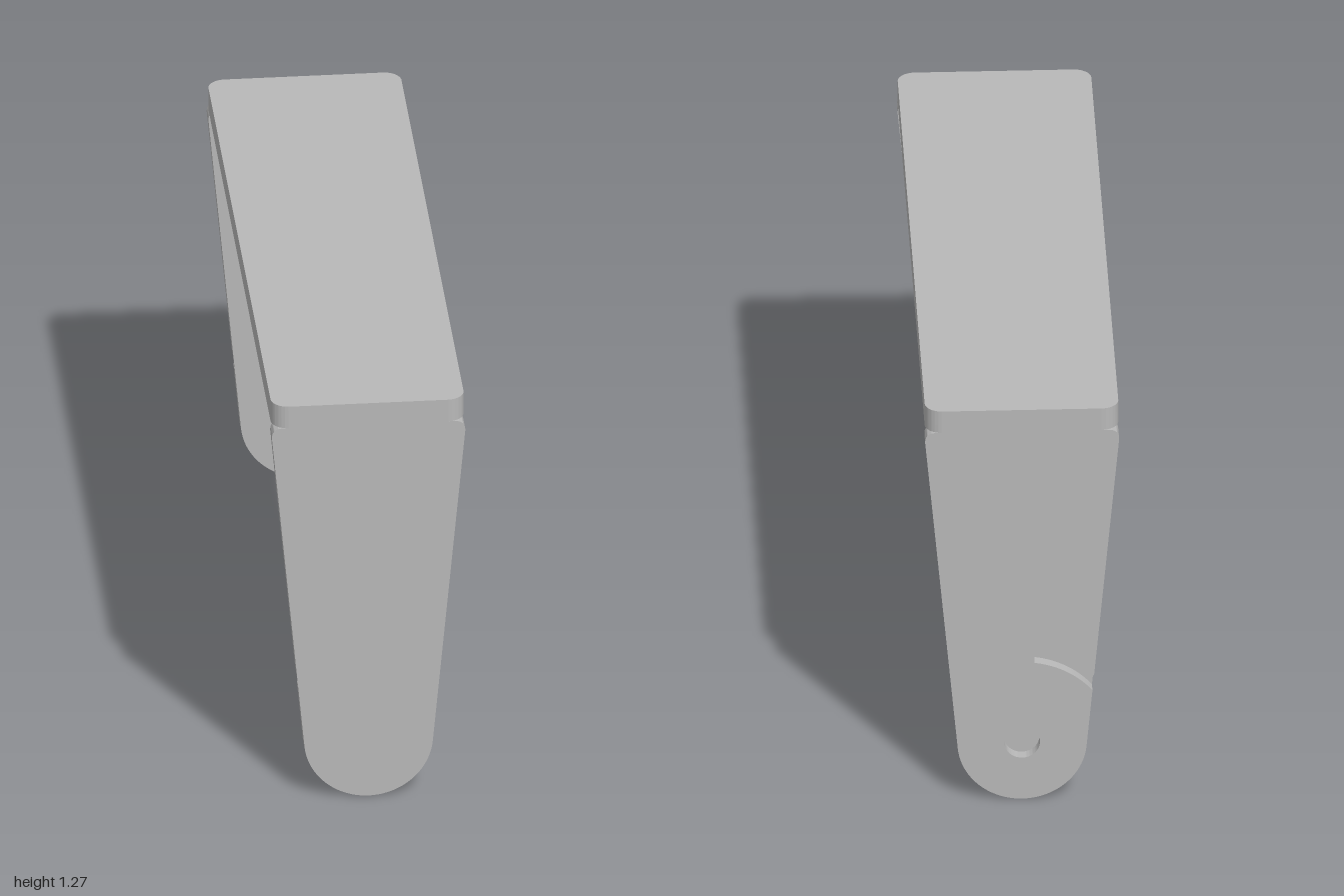
import * as THREE from 'three';
import { toCreasedNormals } from 'three/addons/utils/BufferGeometryUtils.js';

const HALF_W = 0.277, LEG_TOP = 1.2, PLATE_H = 0.07;
const LEG_T = 0.055, POCKET = 0.035;      // leg thickness, recess depth
const R = 0.185, TAPER = 0.093;           // foot radius (also its height), side lean angle
const SLOT_IN = 0.26, SLOT_OUT = 0.295, SLOT_X = 0.035;

const extrude = (shape, depth) =>
  toCreasedNormals(new THREE.ExtrudeGeometry(shape, { depth, bevelEnabled: false, curveSegments: 32 }), 0.5);

// Tapered leg with a round foot; optionally with pivot hole and arc slot cut from the -x edge
function legShape(withCuts) {
  const s = new THREE.Shape();
  const edgeX = y => (R + (y - R) * Math.sin(TAPER)) / Math.cos(TAPER);
  const shoulder = LEG_TOP - 0.03;
  s.absarc(0, R, R, Math.PI + TAPER, 2 * Math.PI - TAPER, false);
  s.lineTo(edgeX(shoulder), shoulder);
  s.quadraticCurveTo(HALF_W, LEG_TOP, HALF_W - 0.03, LEG_TOP);
  s.lineTo(-HALF_W + 0.03, LEG_TOP);
  s.quadraticCurveTo(-HALF_W, LEG_TOP, -edgeX(shoulder), shoulder);
  if (withCuts) {
    // angles where the slot meets the leaning edge, and where it ends
    const atEdge = r => Math.PI / 2 + Math.asin(R / r) + TAPER;
    const atEnd = r => Math.PI / 2 + Math.asin(SLOT_X / r);
    s.absarc(0, R, SLOT_OUT, atEdge(SLOT_OUT), atEnd(SLOT_OUT), true);
    s.absarc(0, R, SLOT_IN, atEnd(SLOT_IN), atEdge(SLOT_IN), false);
    const hole = new THREE.Path();
    hole.absarc(0, R, 0.051, 0, Math.PI * 2, true);
    s.holes.push(hole);
  }
  return s;
}

// Rectangle with rounded corners
function plateShape(w, d, r) {
  const s = new THREE.Shape();
  s.absarc(w - r, d - r, r, 0, Math.PI / 2, false);
  s.absarc(-w + r, d - r, r, Math.PI / 2, Math.PI, false);
  s.absarc(-w + r, -d + r, r, Math.PI, Math.PI * 1.5, false);
  s.absarc(w - r, -d + r, r, Math.PI * 1.5, Math.PI * 2, false);
  return s;
}

export function createModel() {
  const model = new THREE.Group();
  model.name = 'bracket';
  const grey = new THREE.MeshStandardMaterial({ color: 0xb8b8b8 });
  grey.name = 'grey';

  // Top plate
  const plate = new THREE.Mesh(extrude(plateShape(HALF_W, 1, 0.05), PLATE_H), grey);
  plate.name = 'topPlate';
  plate.rotation.x = -Math.PI / 2;
  plate.position.y = LEG_TOP;
  model.add(plate);

  // Legs: a solid front layer behind a cut layer makes the recesses, open to the back
  const cutLayer = extrude(legShape(true), POCKET);
  const solidLayer = extrude(legShape(false), LEG_T - POCKET);
  for (const [name, z] of [['frontLeg', 1 - LEG_T], ['backLeg', -1]]) {
    const leg = new THREE.Group();
    leg.name = name;
    const recessed = new THREE.Mesh(cutLayer, grey);
    recessed.name = 'recessedSide';
    const solid = new THREE.Mesh(solidLayer, grey);
    solid.name = 'solidSide';
    solid.position.z = POCKET;
    leg.add(recessed, solid);
    leg.position.z = z;
    model.add(leg);
  }
  return model;
}
